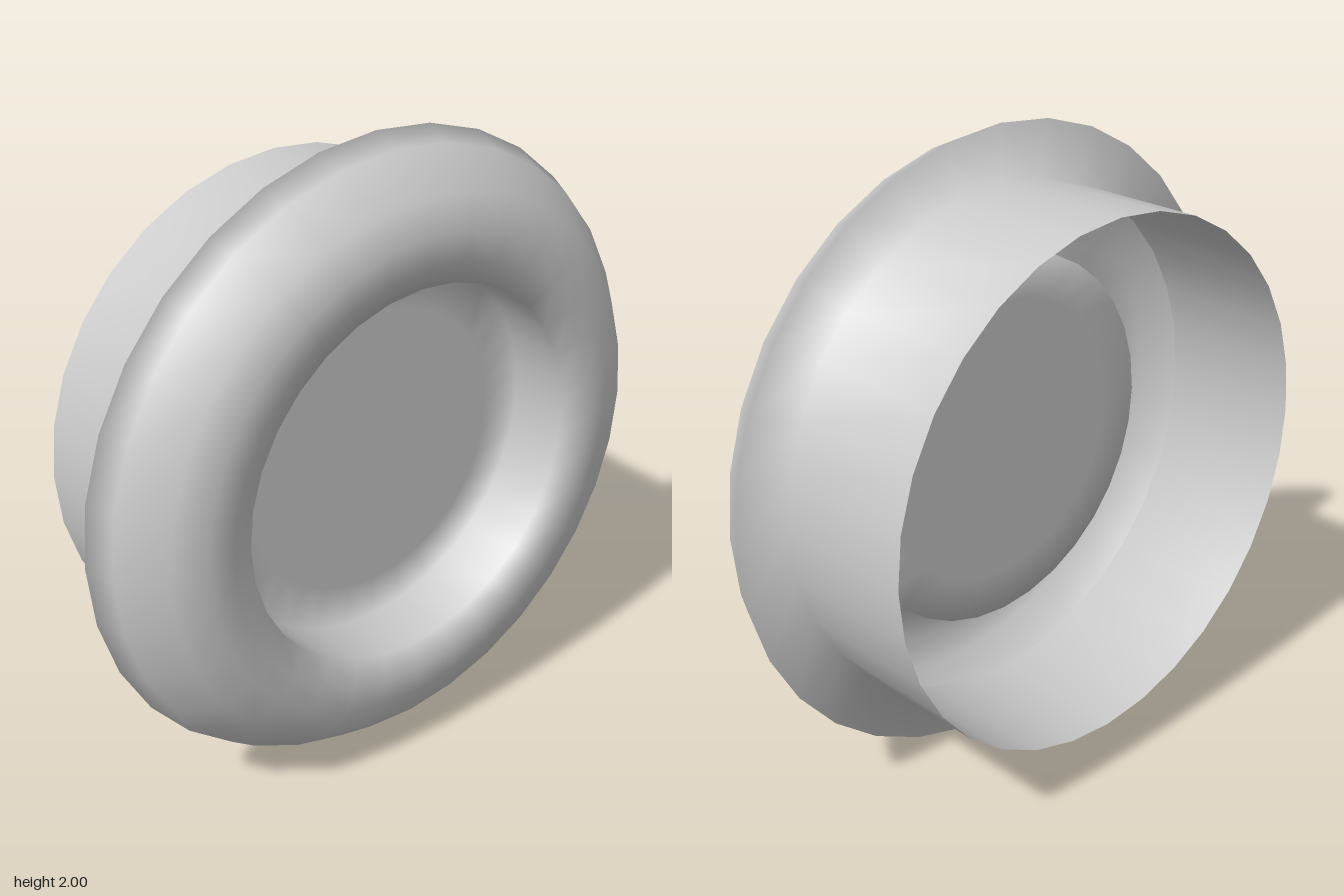
import * as THREE from 'three';

// Hollow round housing: open rear sleeve, rounded front rim and recessed face,
// turned as one continuous smooth shell about the z axis.
export function createModel() {
  const group = new THREE.Group();
  group.name = 'roundHousing';

  const sleeve = [[0.825, -0.35], [0.825, 0.12]];
  const rim = [[1, 0.12], [0.965, 0.2], [0.86, 0.32], [0.76, 0.353], [0.68, 0.353], [0.6, 0.32]];
  const recess = [[0.6, 0.12], [0.46, 0.12], [0, 0.12]];

  const profile = [...sleeve, ...rim, ...recess].map(([r, z]) => new THREE.Vector2(r, z));
  const geometry = new THREE.LatheGeometry(profile, 32);
  geometry.rotateX(Math.PI / 2); // lathe axis y becomes z

  const material = new THREE.MeshStandardMaterial({ color: 0xcccccc, side: THREE.DoubleSide });
  const shell = new THREE.Mesh(geometry, material);
  shell.name = 'rimAndSleeveShell';
  shell.position.y = 1;
  group.add(shell);

  return group;
}
